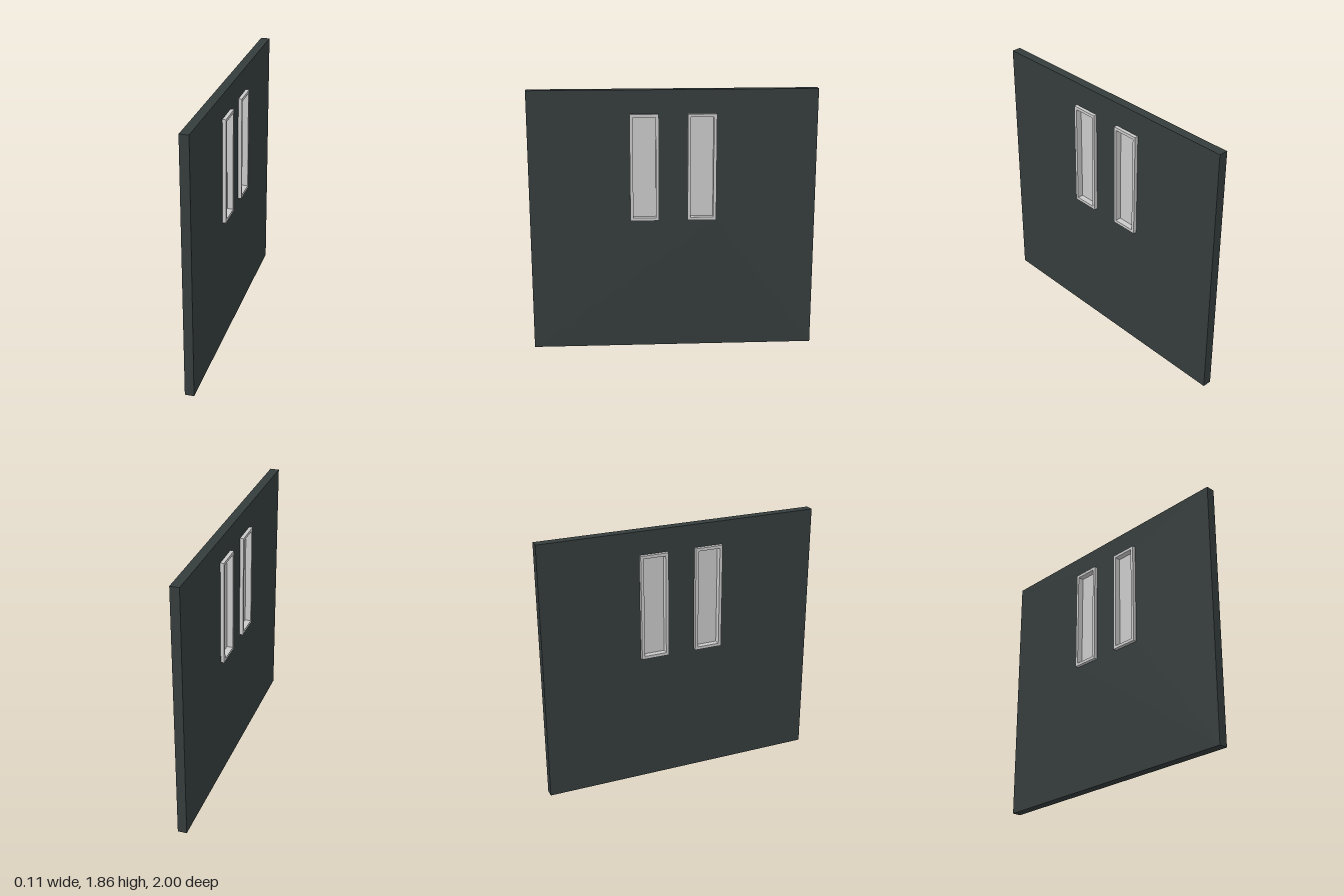
import * as THREE from 'three';

const DOOR_THICKNESS = 0.064, FRAME_DEPTH = 0.114, GLASS_THICKNESS = 0.03;
const WINDOW = { width: 0.2, height: 0.75, y: 1.315, offset: 0.2, border: 0.021 };

// Trace a rectangle centred on (x, y) into a Shape or Path
function rect(path, x, y, w, h) {
  path.moveTo(x - w / 2, y - h / 2);
  path.lineTo(x + w / 2, y - h / 2);
  path.lineTo(x + w / 2, y + h / 2);
  path.lineTo(x - w / 2, y + h / 2);
  path.closePath();
  return path;
}

// Extrude a shape and turn it so its thickness runs along x, centred
function slab(shape, depth) {
  const g = new THREE.ExtrudeGeometry(shape, { depth, bevelEnabled: false });
  g.translate(0, 0, -depth / 2);
  g.rotateY(Math.PI / 2);
  return g;
}

export function createModel() {
  const group = new THREE.Group();
  group.name = 'windowedDoor';
  const panelMat = new THREE.MeshStandardMaterial({ color: 0x353c3c });
  panelMat.name = 'dark slate';
  const windowMat = new THREE.MeshStandardMaterial({ color: 0xcacaca });
  windowMat.name = 'pale grey';

  const add = (name, geometry, material) => {
    const mesh = new THREE.Mesh(geometry, material);
    mesh.name = name;
    group.add(mesh);
    return mesh;
  };

  // Door panel with two tall openings
  const { width, height, y, offset, border } = WINDOW;
  const door = rect(new THREE.Shape(), 0, 0.9275, 2, 1.855);
  for (const s of [-1, 1]) door.holes.push(rect(new THREE.Path(), s * offset, y, width, height));
  add('doorPanel', slab(door, DOOR_THICKNESS), panelMat);

  // Raised frame and recessed pane, once per opening
  const innerW = width - 2 * border, innerH = height - 2 * border;
  for (const [label, s] of [['front', 1], ['back', -1]]) {
    const ring = rect(new THREE.Shape(), 0, 0, width, height);
    ring.holes.push(rect(new THREE.Path(), 0, 0, innerW, innerH));
    add(label + 'WindowFrame', slab(ring, FRAME_DEPTH), windowMat).position.set(0, y, s * offset);

    const pane = new THREE.BoxGeometry(GLASS_THICKNESS, innerH, innerW);
    add(label + 'WindowPane', pane, windowMat).position.set(0, y, s * offset);
  }
  return group;
}
